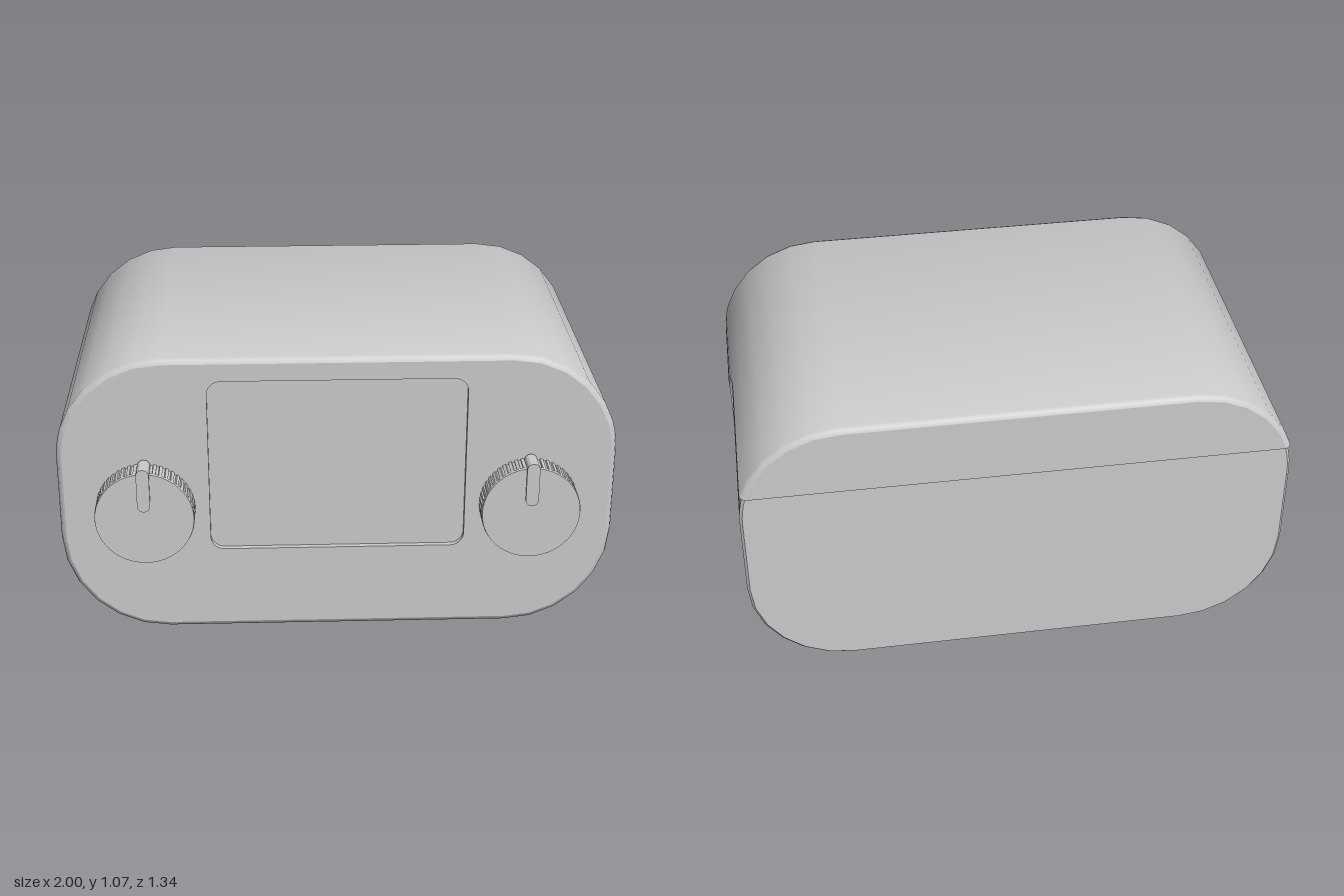
import * as THREE from 'three';
import { toCreasedNormals } from 'three/addons/utils/BufferGeometryUtils.js';

const R = 0.38, CX = 0.62, TOP = 1.07, SPLIT = 0.81;
const FRONT = 0.575, BACK = -0.67;
const material = new THREE.MeshStandardMaterial({ color: 0xcccccc });

function add(parent, name, geometry, x = 0, y = 0, z = 0) {
  const mesh = new THREE.Mesh(geometry, material);
  mesh.name = name;
  mesh.position.set(x, y, z);
  parent.add(mesh);
  return mesh;
}

// Rear end of the shell wall at height y: upright seam curving into the split line
function seamZ(y) {
  const t = THREE.MathUtils.clamp((y - 0.5) / (SPLIT - 0.5), 0, 1);
  return -0.03 + 0.29 * Math.sqrt(1 - t * t);
}

// Rounded body outline, anticlockwise from bottom centre, with outward normals
function outline() {
  const half = [];
  const put = (x, y, nx, ny, upper = false) => half.push({ x, y, nx, ny, upper });
  const arc = (deg, cy, upper) => {
    const a = THREE.MathUtils.degToRad(deg), c = Math.cos(a), s = Math.sin(a);
    put(CX + R * c, cy + R * s, c, s, upper);
  };
  const splitDeg = THREE.MathUtils.radToDeg(Math.asin((SPLIT - TOP + R) / R));
  put(0, 0, 0, -1);
  for (let d = -90; d <= 0; d += 15) arc(d, R, false);
  for (let y = 0.42; y < 0.68; y += 0.03) put(1, y, 1, 0);
  for (const d of [0, 4, 8, 12, 15, 17, splitDeg]) arc(d, TOP - R, false);
  for (const d of [splitDeg, 30, 45, 60, 75, 90]) arc(d, TOP - R, true);
  put(0, TOP, 0, 1, true);
  const mirrored = half.slice(1, -1).reverse().map(p => ({ ...p, x: -p.x, nx: -p.nx }));
  return [...half, ...mirrored];
}

function insetShape(points, inset) {
  const pts = points.map(p => new THREE.Vector2(p.x - p.nx * inset, p.y - p.ny * inset));
  return new THREE.Shape(pts.filter((p, i) => i === 0 || p.distanceTo(pts[i - 1]) > 1e-5));
}

function roundedRect(target, x0, y0, x1, y1, r) {
  target.absarc(x1 - r, y0 + r, r, -Math.PI / 2, 0);
  target.absarc(x1 - r, y1 - r, r, 0, Math.PI / 2);
  target.absarc(x0 + r, y1 - r, r, Math.PI / 2, Math.PI);
  target.absarc(x0 + r, y0 + r, r, Math.PI, Math.PI * 1.5);
  target.closePath();
  return target;
}

// Shell wall: rings from the front bevel back to the seam lip or the rear bevel
function shellWall(points) {
  const columns = points.map(p => {
    const z = seamZ(p.y);
    const rear = p.upper
      ? [[0, BACK + 0.02], [0.006, BACK + 0.006], [0.02, BACK]]
      : [[0, z], [0.01, z], [0.02, z]];
    return [[0.02, FRONT], [0.006, FRONT - 0.006], [0, FRONT - 0.02], ...rear]
      .map(([inset, pz]) => [p.x - p.nx * inset, p.y - p.ny * inset, pz]);
  });
  const pos = [];
  columns.forEach((a, i) => {
    const b = columns[(i + 1) % columns.length];
    for (let j = 0; j < a.length - 1; j++) {
      pos.push(...a[j + 1], ...b[j + 1], ...a[j], ...b[j + 1], ...b[j], ...a[j]);
    }
  });
  const g = new THREE.BufferGeometry();
  g.setAttribute('position', new THREE.Float32BufferAttribute(pos, 3));
  g.computeVertexNormals();
  return toCreasedNormals(g, 0.8);
}

// Knurled dial with a raised pointer
function makeKnob(name, x) {
  const knob = new THREE.Group();
  knob.name = name;
  knob.position.set(x, 0.495, FRONT);

  const teeth = 48, ring = [];
  for (let i = 0; i < teeth; i++) {
    for (const [f, r] of [[0, 0.178], [0.5, 0.178], [0.55, 0.172], [0.95, 0.172]]) {
      const a = (i + f) / teeth * Math.PI * 2;
      ring.push(new THREE.Vector2(r * Math.cos(a), r * Math.sin(a)));
    }
  }
  add(knob, 'knobGrip', new THREE.ExtrudeGeometry(new THREE.Shape(ring),
    { depth: 0.08, bevelEnabled: false }), 0, 0, -0.005);

  const face = new THREE.CylinderGeometry(0.176, 0.178, 0.01, 48);
  face.rotateX(Math.PI / 2);
  add(knob, 'knobFace', face, 0, 0, 0.08);

  const pointer = roundedRect(new THREE.Shape(), -0.023, 0.033, 0.023, 0.197, 0.022);
  add(knob, 'knobPointer', toCreasedNormals(new THREE.ExtrudeGeometry(pointer,
    { depth: 0.085, bevelEnabled: false, curveSegments: 6 }), 0.6), 0, 0, 0.01);
  return knob;
}

export function createModel() {
  const model = new THREE.Group();
  model.name = 'clockRadio';
  const points = outline();

  // Outer shell: wall, front panel with display opening, upper back panel
  const shell = new THREE.Group();
  shell.name = 'shell';
  model.add(shell);
  add(shell, 'shellWall', shellWall(points));

  const front = insetShape(points, 0.02);
  front.holes.push(roundedRect(new THREE.Path(), -0.46, 0.325, 0.46, 0.985, 0.05));
  add(shell, 'frontPanel', toCreasedNormals(new THREE.ExtrudeGeometry(front,
    { depth: 0.02, bevelEnabled: false, curveSegments: 6 }), 0.6), 0, 0, FRONT - 0.02);

  const upper = insetShape(points.filter(p => p.upper), 0.02);
  add(shell, 'upperBackPanel', new THREE.ExtrudeGeometry(upper,
    { depth: 0.02, bevelEnabled: false }), 0, 0, BACK);

  // Slightly inset rear cover filling the shell from behind
  const cover = new THREE.ExtrudeGeometry(insetShape(points, 0.022),
    { depth: 0.94, bevelSize: 0.01, bevelThickness: 0.01, bevelSegments: 1 });
  add(model, 'rearCover', toCreasedNormals(cover, 0.6), 0, 0, -0.65);

  // Recessed display
  add(model, 'display', new THREE.BoxGeometry(0.96, 0.7, 0.02), 0, 0.655, FRONT - 0.03);

  model.add(makeKnob('leftKnob', 0.69), makeKnob('rightKnob', -0.69));
  return model;
}
